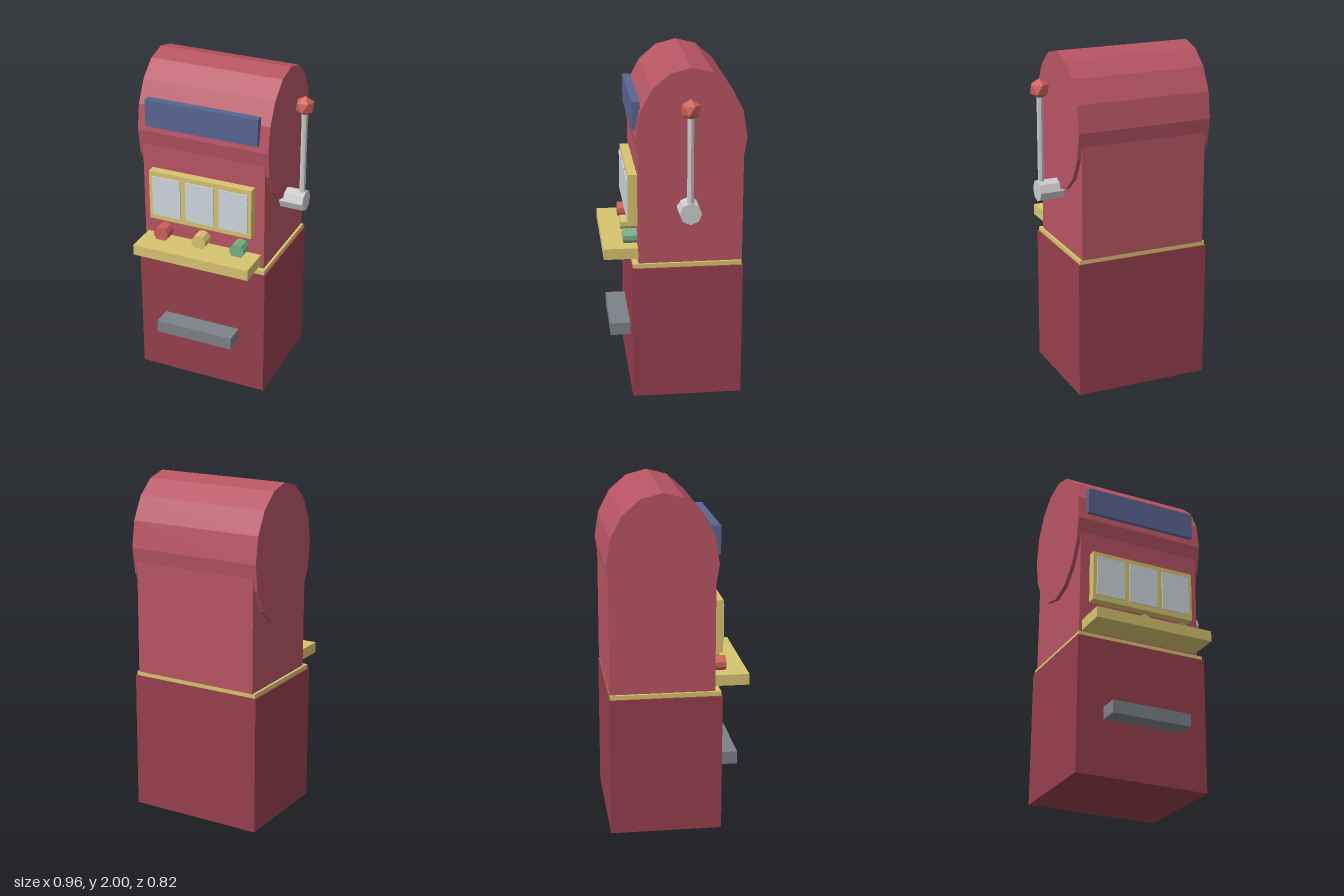
import * as THREE from 'three';

const mat = (color) => new THREE.MeshStandardMaterial({ color, flatShading: true });
const colors = {
  base: mat(0x963f4c), body: mat(0xb85563), gold: mat(0xd8c470), sign: mat(0x5a6592),
  reel: mat(0xd0d8de), slot: mat(0x7d8188), red: mat(0xd0625a), green: mat(0x78b085),
  metal: mat(0xcccccc),
};

export function createModel() {
  const root = new THREE.Group();
  root.name = 'slotMachine';
  const midX = -0.08; // the cabinet sits left of centre to leave room for the lever

  const add = (name, geometry, material, x, y, z, parent = root) => {
    const mesh = new THREE.Mesh(geometry, material);
    mesh.name = name;
    mesh.position.set(x, y, z);
    parent.add(mesh);
    return mesh;
  };

  // Box centred on the cabinet (or at x) spanning y0..y1 and z0..z1
  const block = (name, material, width, [y0, y1], [z0, z1], x = midX) =>
    add(name, new THREE.BoxGeometry(width, y1 - y0, z1 - z0), material, x, (y0 + y1) / 2, (z0 + z1) / 2);

  // Cabinet
  block('base', colors.base, 0.816, [0, 0.82], [-0.4, 0.25]);
  block('trim', colors.gold, 0.8, [0.82, 0.845], [-0.393, 0.243]);
  block('upperBody', colors.body, 0.77, [0.845, 1.6], [-0.397, 0.21]);

  // Oval drum across the top
  const drum = new THREE.CylinderGeometry(1, 1, 0.816, 16);
  drum.rotateZ(Math.PI / 2).scale(1, 0.405, 0.317);
  add('topDrum', drum, colors.body, midX, 1.595, -0.093);

  // Front fittings
  block('signPanel', colors.sign, 0.7, [1.635, 1.8], [0.193, 0.24]);
  block('windowFrame', colors.gold, 0.65, [1.055, 1.365], [0.205, 0.263]);
  for (const offset of [-0.213, 0, 0.213]) {
    block('reelWindow', colors.reel, 0.18, [1.087, 1.335], [0.22, 0.27], midX + offset);
  }
  block('buttonShelf', colors.gold, 0.734, [0.868, 0.933], [0.2, 0.411]);
  block('payoutSlot', colors.slot, 0.488, [0.332, 0.408], [0.24, 0.37]);

  // Three push buttons facing forward
  const button = new THREE.CylinderGeometry(0.046, 0.046, 0.09, 10).rotateX(Math.PI / 2);
  [colors.red, colors.gold, colors.green].forEach((material, i) =>
    add('button', button, material, midX + (i - 1) * 0.245, 0.968, 0.245));

  // Pull lever on the model's left side
  const lever = new THREE.Group();
  lever.name = 'lever';
  lever.position.set(0.425, 1.187, -0.076);
  root.add(lever);
  const hub = new THREE.CylinderGeometry(0.064, 0.064, 0.15, 8).rotateZ(Math.PI / 2);
  add('leverHub', hub, colors.metal, -0.05, 0, 0, lever);
  add('leverRod', new THREE.CylinderGeometry(0.019, 0.019, 0.58, 8), colors.metal, 0, 0.29, 0, lever);
  // Knob turned so that a corner points straight up
  const knob = new THREE.IcosahedronGeometry(0.06, 0).rotateZ(-0.5536).rotateY(Math.PI / 2);
  add('leverKnob', knob, colors.red, 0, 0.6, 0, lever);

  return root;
}
